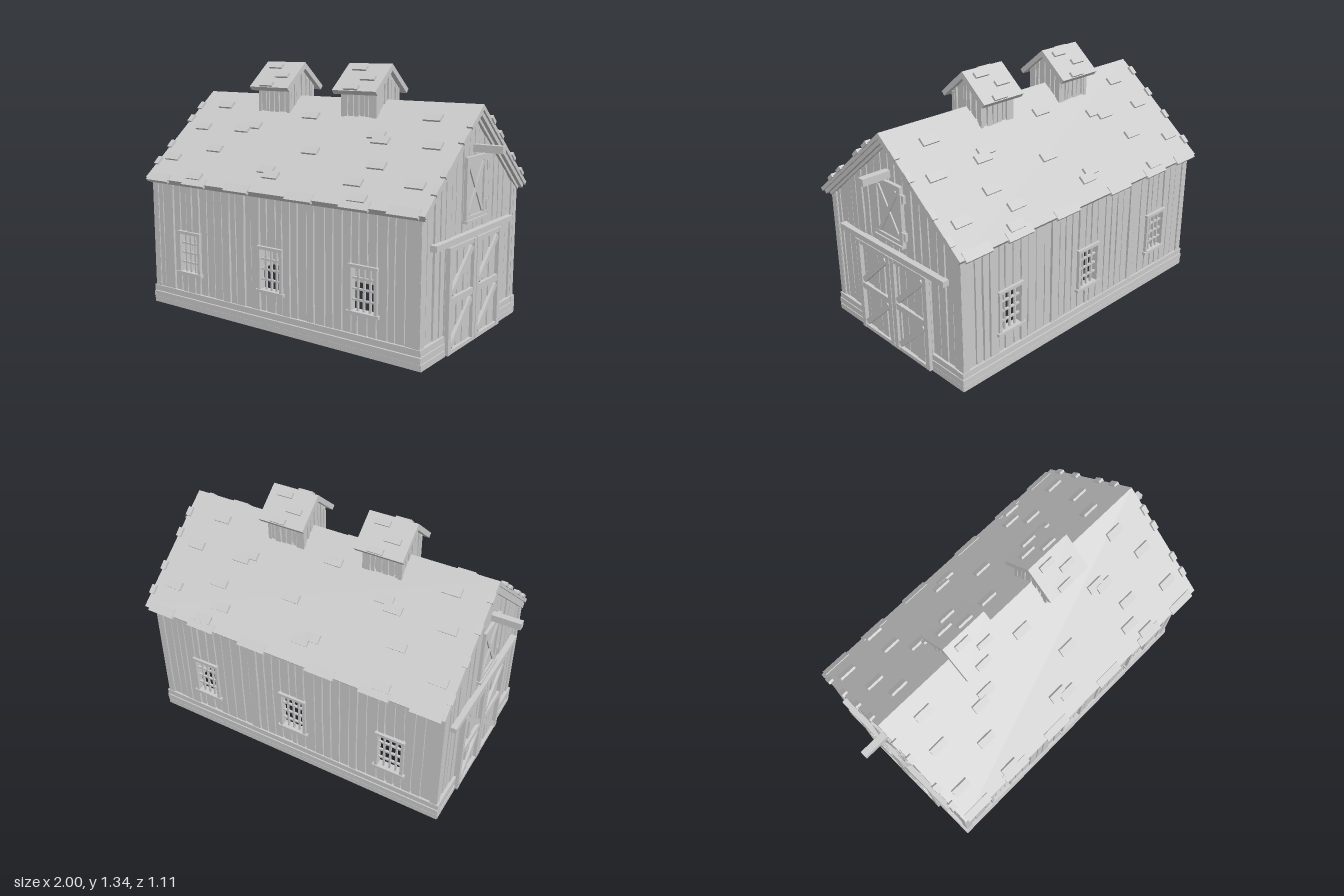
import * as THREE from 'three';
import { mergeGeometries } from 'three/addons/utils/BufferGeometryUtils.js';

const mat = new THREE.MeshStandardMaterial({ color: 0xcccccc, flatShading: true });
let seed = 7;
const rnd = () => (seed = (seed * 16807) % 2147483647) / 2147483647;
const jit = (a) => (rnd() - 0.5) * 2 * a;

function add(parent, name, geo) {
  const m = new THREE.Mesh(geo, mat);
  m.name = name;
  parent.add(m);
  return m;
}
function box(parent, name, w, h, d, x, y, z, rot = 0) {
  const m = add(parent, name, new THREE.BoxGeometry(w, h, d));
  m.position.set(x, y, z);
  m.rotation.z = rot;
  return m;
}
function strut(parent, name, x0, y0, x1, y1, w, d, z) {
  box(parent, name, Math.hypot(x1 - x0, y1 - y0), w, d, (x0 + x1) / 2, (y0 + y1) / 2, z, Math.atan2(y1 - y0, x1 - x0));
}
function group(parent, name, rotY = 0) {
  const g = new THREE.Group();
  g.name = name;
  g.rotation.y = rotY;
  parent.add(g);
  return g;
}
function extrude(pts, depth, z, holes = []) {
  const s = new THREE.Shape(pts.map(([x, y]) => new THREE.Vector2(x, y)));
  for (const [x0, y0, x1, y1] of holes)
    s.holes.push(new THREE.Path([[x0, y0], [x0, y1], [x1, y1], [x1, y0]].map(([x, y]) => new THREE.Vector2(x, y))));
  return new THREE.ExtrudeGeometry(s, { depth, bevelEnabled: false }).translate(0, 0, z);
}

// Row of uneven upright boards with wavy edges; top(u) gives the upper outline
function planks(a, b, y0, top, face, thick, width = 0.055) {
  const n = Math.max(1, Math.round((b - a) / width)), out = [];
  const cuts = Array.from({ length: n + 1 }, (_, i) => a + ((b - a) * i) / n + (i > 0 && i < n ? jit(width * 0.2) : 0));
  for (let i = 0; i < n; i++) {
    const l = cuts[i] + 0.002, r = cuts[i + 1] - 0.002, lt = top(l), rt = top(r);
    const pts = [[l, y0], [r, y0]];
    for (const t of [0.25, 0.5, 0.75]) pts.push([r - rnd() * 0.005, y0 + (rt - y0) * t]);
    pts.push([r, rt], [l, lt]);
    for (const t of [0.7, 0.4]) pts.push([l + rnd() * 0.005, y0 + (lt - y0) * t]);
    const f = face - rnd() * 0.007;
    out.push(extrude(pts, thick + rnd() * 0.004, f - thick));
  }
  return out;
}

// Roof cross-section: two slopes of constant vertical thickness, running along x
function chevron(parent, name, apex, slope, reach, vt, x0, x1) {
  const inner = reach - vt * 0.5, e = apex - slope * reach;
  const pts = [[0, apex], [-reach, e], [-inner, apex - slope * inner - vt], [0, apex - vt], [inner, apex - slope * inner - vt], [reach, e]];
  return add(parent, name, extrude(pts, x1 - x0, x0).rotateY(Math.PI / 2));
}
// Raised shingle lying on a slope; s picks the +z or -z side
function shingle(parent, x, z, s, apex, slope, w = 0.095, l = 0.045) {
  const m = box(parent, 'raisedShingle', w, 0.018, l, x, apex - slope * z + 0.004, s * z);
  m.rotation.x = s * (Math.atan(slope) + 0.06);
}

const SLOPE = 0.8165, APEX = 1.165;

function sideWall(parent, name, rotY, windows) {
  const g = group(parent, name, rotY);
  const holes = windows.map((x) => [x - 0.072, 0.21, x + 0.072, 0.43]);
  add(g, 'wallBacking', extrude([[-0.84, 0.01], [0.84, 0.01], [0.84, 0.72], [-0.84, 0.72]], 0.01, 0.477, holes));
  const top = () => 0.715, boards = [];
  let u = -0.83;
  for (const [x0, y0, x1, y1] of holes) {
    boards.push(...planks(u, x0, 0.02, top, 0.5, 0.03), ...planks(x0, x1, 0.02, () => y0, 0.5, 0.03), ...planks(x0, x1, y1, top, 0.5, 0.03));
    u = x1;
  }
  boards.push(...planks(u, 0.83, 0.02, top, 0.5, 0.03));
  add(g, 'wallPlanks', mergeGeometries(boards));
  for (const s of [-1, 1]) box(g, 'cornerBoard', 0.035, 0.61, 0.04, s * 0.836, 0.4, 0.484);
  // Base boards
  for (let i = 0; i < 3; i++) box(g, 'baseBoard', 1.725 + jit(0.006), 0.031, 0.04, 0, 0.016 + i * 0.034, 0.49 + jit(0.003));
  // Windows: frame, sill and glazing bars
  for (const x of windows) {
    const w = group(g, 'window');
    w.position.set(x, 0.32, 0.493);
    for (const s of [-1, 1]) {
      box(w, 'windowJamb', 0.016, 0.23, 0.04, s * 0.072, 0, 0);
      box(w, 'windowRail', s < 0 ? 0.18 : 0.165, 0.016, s < 0 ? 0.05 : 0.042, 0, s * 0.113, 0);
    }
    for (const k of [-1, 0, 1]) {
      box(w, 'glazingBar', 0.009, 0.22, 0.012, k * 0.034, 0, 0);
      box(w, 'glazingBar', 0.14, 0.009, 0.012, 0, k * 0.053, 0);
    }
  }
}

function barnDoor(parent, u0, u1, lowDir, highDir) {
  const g = group(parent, 'barnDoor'), c = (u0 + u1) / 2, w = u1 - u0;
  add(g, 'doorPlanks', mergeGeometries(planks(u0, u1, 0.004, () => 0.525, 0.862, 0.022, 0.06)));
  box(g, 'doorBacking', w - 0.004, 0.515, 0.01, c, 0.264, 0.85);
  for (const s of [-1, 1]) box(g, 'doorStile', 0.028, 0.52, 0.022, c + s * (w / 2 - 0.015), 0.264, 0.868);
  for (const [y, h] of [[0.013, 0.02], [0.262, 0.034], [0.513, 0.022]]) box(g, 'doorRail', w - 0.06, h, 0.02, c, y, 0.867);
  const h = w / 2 - 0.038;
  strut(g, 'doorBrace', c - h, 0.134 - lowDir * 0.095, c + h, 0.134 + lowDir * 0.095, 0.03, 0.018, 0.867);
  strut(g, 'doorBrace', c - h, 0.39 - highDir * 0.095, c + h, 0.39 + highDir * 0.095, 0.03, 0.018, 0.867);
}

function endWall(parent, name, rotY, doorDirs) {
  const g = group(parent, name, rotY);
  const top = (u) => 1.125 - SLOPE * Math.abs(u);
  add(g, 'gableBacking', extrude([[-0.49, 0.01], [-0.28, 0.01], [-0.28, 0.53], [0.28, 0.53], [0.28, 0.01], [0.49, 0.01],
    [0.49, top(0.49)], [0, top(0)], [-0.49, top(0.49)]], 0.01, 0.827));
  add(g, 'gablePlanks', mergeGeometries([
    ...planks(-0.48, -0.28, 0.02, top, 0.85, 0.03), ...planks(-0.28, 0, 0.53, top, 0.85, 0.03),
    ...planks(0, 0.28, 0.53, top, 0.85, 0.03), ...planks(0.28, 0.48, 0.02, top, 0.85, 0.03)]));
  for (const s of [-1, 1]) {
    box(g, 'cornerBoard', 0.035, 0.62, 0.04, s * 0.486, 0.4, 0.835);
    for (let i = 0; i < 3; i++) box(g, 'baseBoard', 0.225, 0.031, 0.045, s * 0.395, 0.016 + i * 0.034, 0.841 + jit(0.003));
    // Rake boards under the roof edge
    strut(g, 'rakeBoard', 0, top(0) - 0.012, s * 0.51, top(0.51) - 0.012, 0.03, 0.02, 0.852);
  }
  // Sliding doors and their track
  barnDoor(g, -0.28, -0.002, doorDirs[0], doorDirs[1]);
  barnDoor(g, 0.002, 0.28, doorDirs[2], doorDirs[3]);
  box(g, 'doorTrack', 0.82, 0.03, 0.035, 0, 0.546, 0.862);
  // Loft door with crossed braces and hinges
  const loft = group(g, 'loftDoor');
  box(loft, 'loftPanel', 0.2, 0.3, 0.012, 0, 0.765, 0.851);
  for (const s of [-1, 1]) {
    box(loft, 'loftStile', 0.026, 0.305, 0.018, s * 0.092, 0.766, 0.857);
    box(loft, 'loftRail', 0.21, 0.026, 0.02, 0, 0.766 + s * 0.142, 0.857);
    strut(loft, 'loftBrace', -0.075, 0.766 - s * 0.12, 0.075, 0.766 + s * 0.12, 0.02, 0.012, 0.859 + s * 0.001);
    box(loft, 'hinge', 0.028, 0.042, 0.016, 0.113, 0.766 + s * 0.097, 0.857);
    box(loft, 'hingePin', 0.01, 0.05, 0.022, 0.108, 0.766 + s * 0.097, 0.86);
  }
  box(loft, 'loftSill', 0.22, 0.014, 0.03, 0, 0.612, 0.86);
  // Hoist beam
  box(g, 'hoistBeam', 0.036, 0.036, 0.2, 0, 0.957, 0.9);
}

function cupola(parent, x) {
  const g = group(parent, 'cupola');
  g.position.x = x;
  const slope = 0.84, apex = 1.345;
  for (let i = 0; i < 4; i++) {
    const wall = group(g, 'cupolaWall', (i * Math.PI) / 2);
    const top = i % 2 ? (u) => apex - 0.028 - slope * Math.abs(u) : () => 1.235;
    add(wall, 'cupolaPlanks', mergeGeometries([...planks(-0.1, 0, 1.06, top, 0.107, 0.02, 0.035), ...planks(0, 0.1, 1.06, top, 0.107, 0.02, 0.035)]));
    add(wall, 'cupolaBacking', extrude([[-0.1, 1.06], [0.1, 1.06], [0.1, top(0.1)], [0, top(0)], [-0.1, top(0.1)]], 0.008, 0.088));
    box(wall, 'cupolaCorner', 0.02, 0.15, 0.018, 0.098, 1.145, 0.1);
  }
  chevron(g, 'cupolaRoof', apex, slope, 0.158, 0.035, -0.132, 0.132);
  for (const s of [-1, 1])
    for (const [dx, z] of [[-0.04, 0.035], [0.045, 0.09], [-0.02, 0.145]]) shingle(g, s * dx, z, s, apex, slope, 0.085, 0.03);
}

export function createModel() {
  const barn = new THREE.Group();
  barn.name = 'barn';
  sideWall(barn, 'frontWall', 0, [-0.58, -0.01, 0.55]);
  sideWall(barn, 'backWall', Math.PI, [-0.55, 0.01, 0.58]);
  endWall(barn, 'leftEnd', Math.PI / 2, [1, 1, 1, 1]);
  endWall(barn, 'rightEnd', -Math.PI / 2, [1, -1, -1, 1]);

  // Roof: shingle layer over a board layer
  const roof = group(barn, 'roof');
  chevron(roof, 'roofShingles', APEX, SLOPE, 0.545, 0.026, -0.865, 0.89);
  chevron(roof, 'roofBoards', APEX - 0.026, SLOPE, 0.53, 0.026, -0.855, 0.88);
  const spots = [[-0.67, 0.09], [-0.72, 0.23], [-0.77, 0.42], [-0.52, 0.35], [-0.43, 0.225], [-0.37, 0.2], [-0.52, 0.51],
    [-0.04, 0.12], [0.1, 0.31], [-0.09, 0.43], [-0.04, 0.455], [0.45, 0.44], [0.42, 0.2], [0.46, 0.225], [0.52, 0.35],
    [0.52, 0.51], [0.67, 0.09], [0.75, 0.23], [0.77, 0.42]];
  const eaves = [-0.77, -0.5, -0.2, 0.2, 0.52, 0.78];
  for (const s of [-1, 1]) {
    for (const [x, z] of spots) shingle(roof, x, z, s, APEX, SLOPE);
    for (const x of eaves) shingle(roof, x, 0.532, s, APEX - 0.012, SLOPE, 0.16, 0.05);
    // Uneven shingle ends along the gable edges
    for (const e of [-0.858, 0.882])
      for (const z of [0.09, 0.2, 0.34, 0.45]) shingle(roof, e, z + jit(0.02), s, APEX, SLOPE, 0.03, 0.05);
  }
  cupola(barn, -0.303);
  cupola(barn, 0.252);
  return barn;
}
